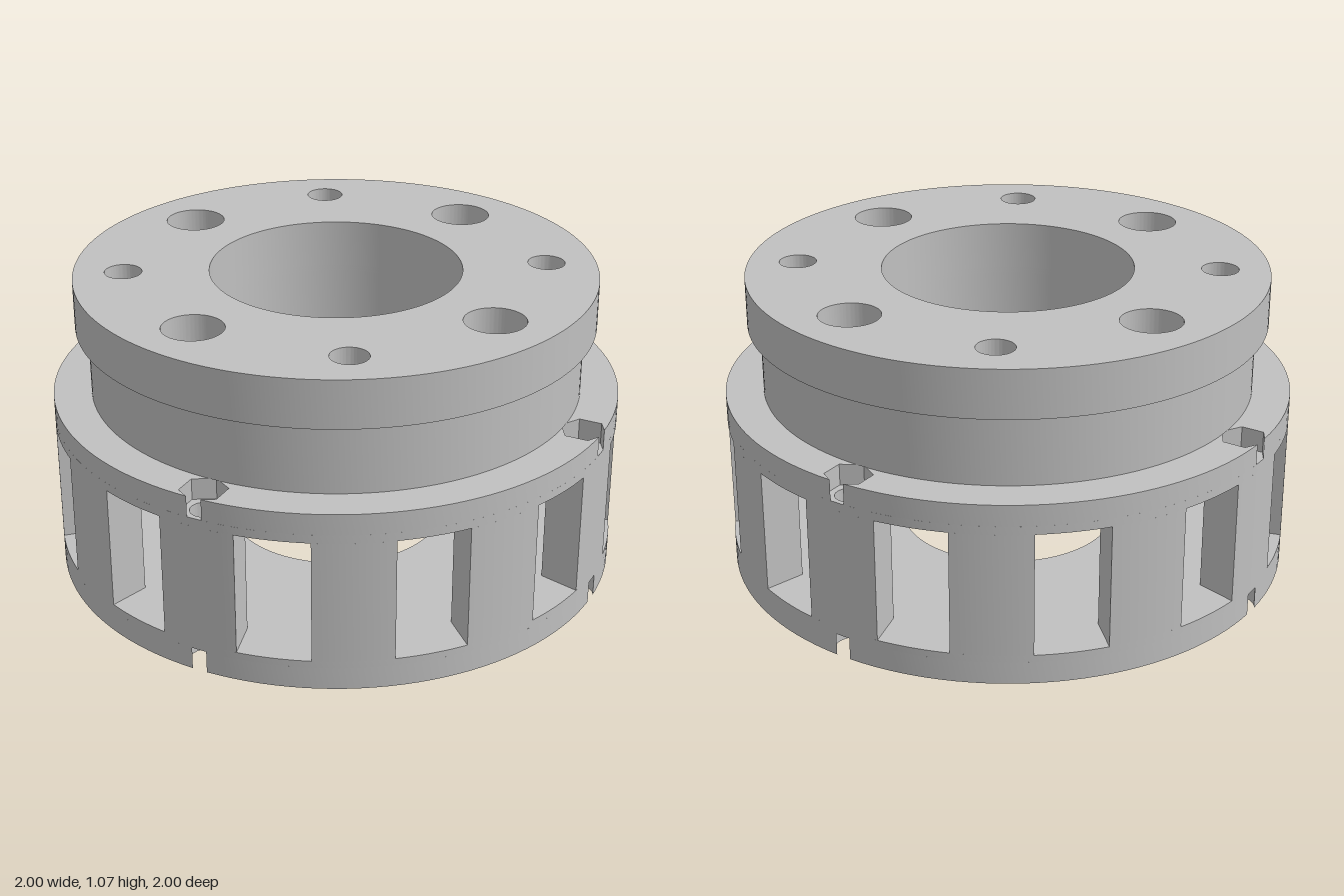
import * as THREE from 'three';
import { toCreasedNormals } from 'three/addons/utils/BufferGeometryUtils.js';

const TAU = Math.PI * 2;
const R = 1;              // outer radius of the base
const WALL = 0.855;       // inner radius of the cage wall
const WINDOW = 0.125;     // half width of a window
const EDGE = 0.935;       // radius on which the edge bolts sit

const polar = (r, a) => [r * Math.cos(a), r * Math.sin(a)];

// Turn a local (radial, tangential) point by angle a
const turn = ([r, t], a) => new THREE.Vector2(
  r * Math.cos(a) - t * Math.sin(a), r * Math.sin(a) + t * Math.cos(a));

function disc(r) {
  return new THREE.Shape().absarc(0, 0, r, 0, TAU, false);
}

function hole(shape, x, y, r) {
  shape.holes.push(new THREE.Path().absarc(x, y, r, 0, TAU, true));
}

// Four holes on a bolt circle
function boltHoles(shape, ring, r, start) {
  for (let k = 0; k < 4; k++) hole(shape, ...polar(ring, start + k * TAU / 4), r);
}

// Disc whose rim is cut by four equal notches
function notchedDisc(notch) {
  const points = [];
  const half = Math.atan2(notch.at(-1)[1], notch.at(-1)[0]);
  for (let k = 0; k < 4; k++) {
    const a = TAU / 24 + k * TAU / 4;
    notch.forEach(p => points.push(turn(p, a)));
    for (let i = 1; i < 32; i++) {
      const b = a + half + (TAU / 4 - 2 * half) * i / 32;
      points.push(new THREE.Vector2(...polar(R, b)));
    }
  }
  return new THREE.Shape(points);
}

export function createModel() {
  const model = new THREE.Group();
  const grey = new THREE.MeshStandardMaterial({ color: 0xc0c0c0 });
  grey.name = 'grey';

  // Extrude a plan shape upwards between two heights
  function layer(name, shape, y0, y1) {
    const g = new THREE.ExtrudeGeometry(shape, { depth: y1 - y0, bevelEnabled: false, curveSegments: 96 });
    g.rotateX(-Math.PI / 2);
    g.translate(0, y0, 0);
    const mesh = new THREE.Mesh(toCreasedNormals(g, 0.5), grey);
    mesh.name = name;
    model.add(mesh);
  }

  // Floor: round bolt head recesses breaking through the rim
  const roundNotch = [];
  for (let i = 0; i <= 24; i++) {
    const a = -0.393 - (TAU - 0.786) * i / 24;
    roundNotch.push([EDGE + 0.07 * Math.cos(a), 0.07 * Math.sin(a)]);
  }
  const floorBottom = notchedDisc(roundNotch);
  hole(floorBottom, 0, 0, 0.383);
  layer('floorBottom', floorBottom, 0, 0.08);

  const floorTop = disc(R);
  hole(floorTop, 0, 0, 0.383);
  boltHoles(floorTop, EDGE, 0.048, TAU / 24);
  layer('floorTop', floorTop, 0.08, 0.105);

  // Cage wall: twelve posts between parallel-sided windows
  for (let k = 0; k < 12; k++) {
    const mid = TAU / 24 + k * TAU / 12;
    const outer = TAU / 24 - Math.asin(WINDOW / R);
    const inner = TAU / 24 - Math.asin(WINDOW / WALL);
    const points = [];
    for (let i = 0; i <= 10; i++) points.push(new THREE.Vector2(...polar(R, mid - outer + outer * i / 5)));
    for (let i = 0; i <= 10; i++) points.push(new THREE.Vector2(...polar(WALL, mid + inner - inner * i / 5)));
    const post = new THREE.Shape(points);
    if (k % 3 === 0) hole(post, ...polar(EDGE, mid), 0.048);
    layer('post', post, 0.105, 0.545);
  }

  // Holes shared by all upper plates
  function upper(shape) {
    hole(shape, 0, 0, 0.44);
    boltHoles(shape, 0.737, 0.065, TAU / 8);
    return shape;
  }

  // Ceiling of the cage
  const ceiling = upper(disc(R));
  boltHoles(ceiling, 0.695, 0.065, 0);
  boltHoles(ceiling, EDGE, 0.048, TAU / 24);
  layer('ceiling', ceiling, 0.545, 0.575);

  // Shoulder: hexagonal nut pockets breaking through the rim
  const hexNotch = [[0.9997, -0.0265], [0.975, -0.0693], [0.895, -0.0693], [0.855, 0],
    [0.895, 0.0693], [0.975, 0.0693], [0.9997, 0.0265]];
  const shoulder = upper(notchedDisc(hexNotch));
  boltHoles(shoulder, 0.695, 0.065, 0);
  layer('shoulder', shoulder, 0.575, 0.65);

  // Neck, with square and slotted steps below the screw head recesses
  const NECK = 0.867;
  const neck = upper(disc(NECK));
  boltHoles(neck, 0.695, 0.065, 0);
  layer('neck', neck, 0.65, 0.88);

  const squareStep = upper(disc(NECK));
  const slotStep = upper(disc(NECK));
  const s = 0.065, c = Math.acos(s / 0.105);
  for (let k = 0; k < 4; k++) {
    const [x, y] = polar(0.695, k * TAU / 4);
    squareStep.holes.push(new THREE.Path([[-s, -s], [-s, s], [s, s], [s, -s]]
      .map(p => new THREE.Vector2(x + p[0], y + p[1]))));
    slotStep.holes.push(new THREE.Path()
      .absarc(x, y, 0.105, Math.PI - c, c, true)
      .absarc(x, y, 0.105, -c, c - Math.PI, true));
  }
  layer('neckSquareStep', squareStep, 0.88, 0.89);
  layer('neckSlotStep', slotStep, 0.89, 0.9);

  // Top flange with screw head recesses
  const flange = upper(disc(0.911));
  boltHoles(flange, 0.695, 0.105, 0);
  layer('flange', flange, 0.9, 1.07);

  return model;
}
